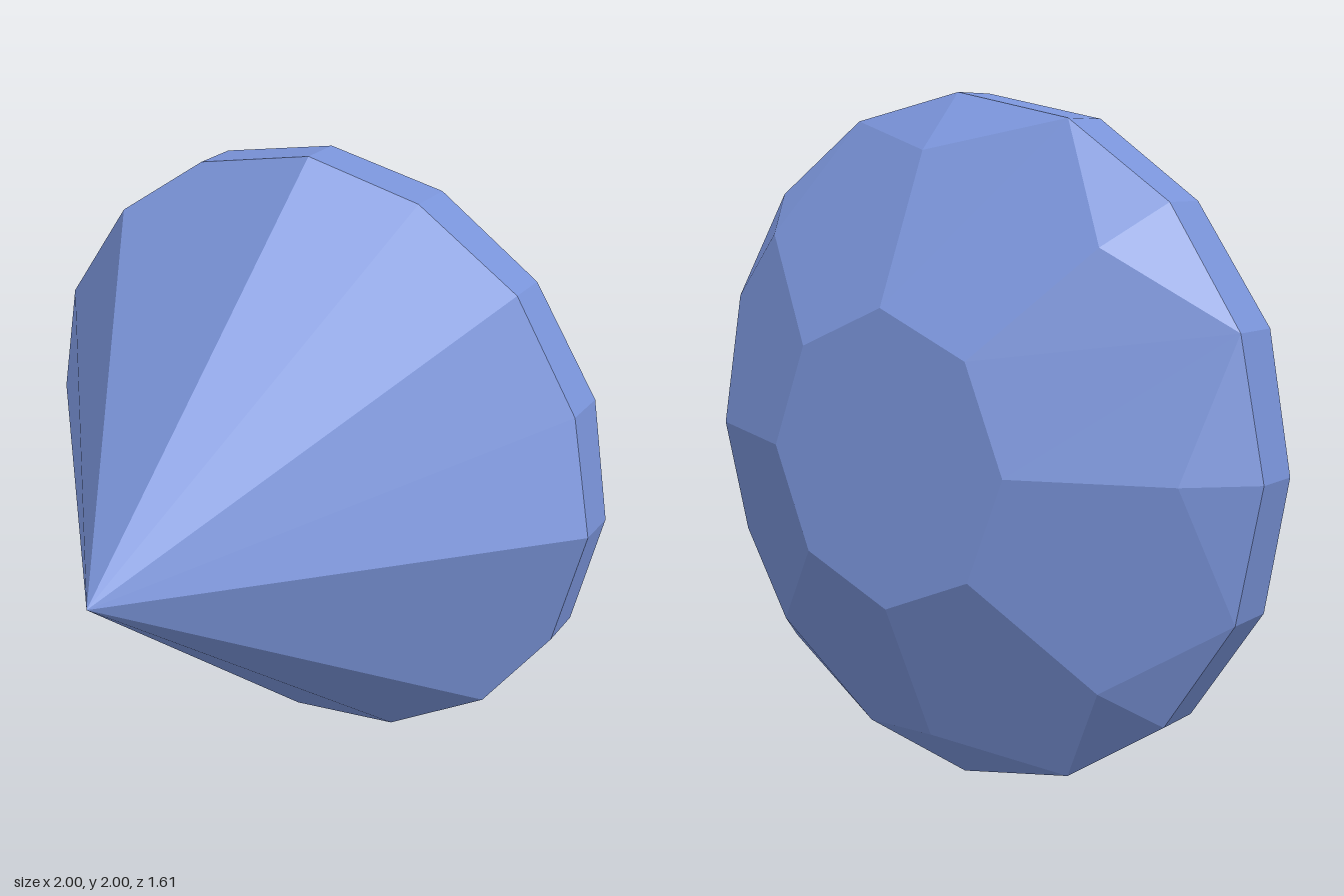
import * as THREE from 'three';

// Point on a ring around the z axis; step counts sixteenths of a turn
const ring = (r, z) => (step) => {
  const a = (step * Math.PI) / 8;
  return new THREE.Vector3(r * Math.cos(a), 1 + r * Math.sin(a), z);
};

// Flat-shaded facets: each polygon is a fan from its first corner with one shared normal
function facetMesh(name, polygons, material) {
  const positions = [];
  const normals = [];
  for (const poly of polygons) {
    const normal = new THREE.Vector3();
    const triangles = [];
    for (let i = 1; i < poly.length - 1; i++) {
      const [a, b, c] = [poly[0], poly[i], poly[i + 1]];
      triangles.push(a, b, c);
      normal.add(b.clone().sub(a).cross(c.clone().sub(a)));
    }
    normal.normalize();
    for (const p of triangles) {
      positions.push(p.x, p.y, p.z);
      normals.push(normal.x, normal.y, normal.z);
    }
  }
  const geometry = new THREE.BufferGeometry();
  geometry.setAttribute('position', new THREE.Float32BufferAttribute(positions, 3));
  geometry.setAttribute('normal', new THREE.Float32BufferAttribute(normals, 3));
  const mesh = new THREE.Mesh(geometry, material);
  mesh.name = name;
  return mesh;
}

export function createModel() {
  const gemBlue = new THREE.MeshStandardMaterial({ color: 0x7a94da });
  gemBlue.name = 'gem blue';

  const tip = new THREE.Vector3(0, 1, 0.805);
  const girdleBack = ring(1, -0.47);
  const girdleFront = (s) => ring(1, s % 2 ? -0.32 : -0.333)(s);
  const crown = ring(0.84, -0.623);
  const table = ring(0.42, -0.805);

  const pavilion = [], girdle = [], girdleFacets = [], mainFacets = [], tableFace = [];
  for (let s = 0; s < 16; s++) {
    girdle.push([girdleFront(s), girdleBack(s), girdleBack(s + 1), girdleFront(s + 1)]);
  }
  for (let s = 0; s < 16; s += 2) {
    // Long facets meeting at the tip
    pavilion.push([tip, girdleFront(s), girdleFront(s + 1), girdleFront(s + 2)]);
    // Pairs of small triangles beside each crown corner
    girdleFacets.push([crown(s), girdleBack(s), girdleBack(s - 1)]);
    girdleFacets.push([crown(s), girdleBack(s + 1), girdleBack(s)]);
    // Five-sided facets from the table edge to the girdle
    mainFacets.push([girdleBack(s + 1), crown(s), table(s), table(s + 2), crown(s + 2)]);
    tableFace.unshift(table(s));
  }

  const gem = new THREE.Group();
  gem.name = 'gem';
  gem.add(
    facetMesh('pavilion', pavilion, gemBlue),
    facetMesh('girdle', girdle, gemBlue),
    facetMesh('crownGirdleFacets', girdleFacets, gemBlue),
    facetMesh('crownMainFacets', mainFacets, gemBlue),
    facetMesh('table', [tableFace], gemBlue),
  );
  return gem;
}
